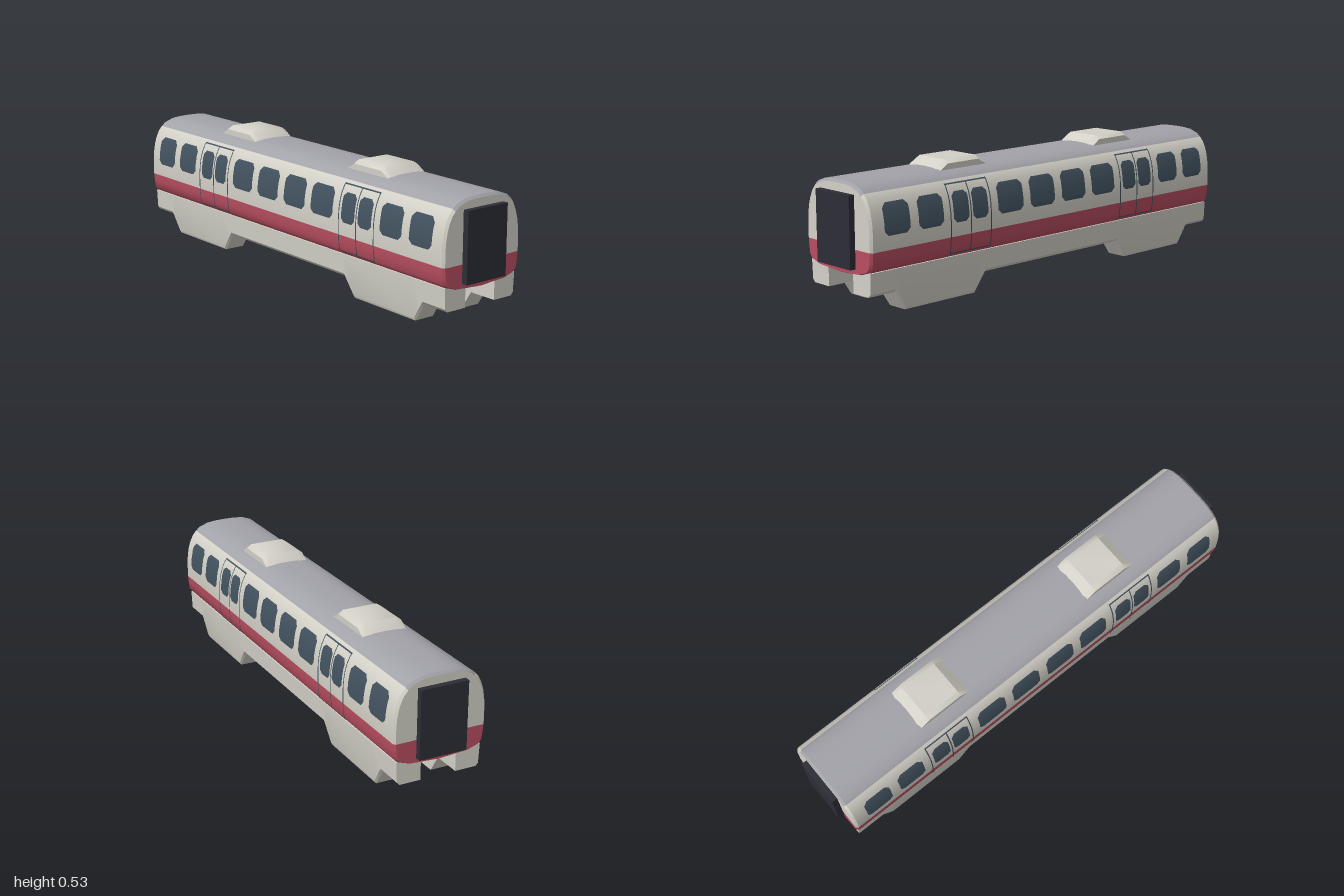
import * as THREE from 'three';
import { toCreasedNormals } from 'three/addons/utils/BufferGeometryUtils.js';

const material = (name, color) => {
  const m = new THREE.MeshStandardMaterial({ color });
  m.name = name;
  return m;
};

// Body half section, top to bottom
const PROFILE = [[0, 0.5], [0.045, 0.499], [0.087, 0.495], [0.128, 0.48], [0.146, 0.465], [0.163, 0.445], [0.176, 0.418],
  [0.185, 0.39], [0.191, 0.355], [0.194, 0.318], [0.194, 0.25], [0.1915, 0.22], [0.187, 0.187], [0.174, 0.171],
  [0.126, 0.155], [0, 0.147]];
const ROOF_END = 4, STRIPE_START = 10, FLOOR_START = 14;

// Side surface x at a given height
function sideX(y) {
  for (let i = 1; i < PROFILE.length; i++) {
    const [x0, y0] = PROFILE[i - 1], [x1, y1] = PROFILE[i];
    if (y >= y1) return x0 + (x1 - x0) * (y0 - y) / (y0 - y1);
  }
  return 0;
}

// Collects quads per material slot and makes one creased geometry
function quadBuilder() {
  const slots = [];
  return {
    quad(slot, a, b, c, d) {
      (slots[slot] ??= []).push(...a, ...b, ...c, ...a, ...c, ...d);
    },
    build() {
      const geo = new THREE.BufferGeometry(), all = [];
      slots.forEach((p, slot) => {
        geo.addGroup(all.length / 3, p.length / 3, slot);
        for (const v of p) all.push(v);
      });
      geo.setAttribute('position', new THREE.Float32BufferAttribute(all, 3));
      return toCreasedNormals(geo, 0.6);
    },
  };
}

// Closed loft: rings run clockwise seen from +z, stations go from +z to -z
function loft(stations, slotOf = () => 0) {
  const q = quadBuilder(), n = stations[0].ring.length, last = stations.length - 1;
  const at = (k, i) => [...stations[k].ring[i % n], stations[k].z];
  for (let k = 0; k < last; k++)
    for (let i = 0; i < n; i++)
      q.quad(slotOf(i, k), at(k, i), at(k, i + 1), at(k + 1, i + 1), at(k + 1, i));
  for (let i = 0; i < n / 2; i++) {
    const j = n - i;
    if (i + 1 > j - 1) break;
    q.quad(slotOf(i, 'cap'), at(0, j - 1), at(0, i + 1), at(0, i), at(0, j));
    q.quad(slotOf(i, 'cap'), at(last, j), at(last, i), at(last, i + 1), at(last, j - 1));
  }
  return q.build();
}

// Thin plate following the body side; rows are [y, zCentre, halfWidth], bottom to top
function sidePlate(rows, side, lift) {
  const q = quadBuilder();
  const p = ([y, z, w], s) => [side * (sideX(y) + lift), y, z + s * w];
  for (let i = 0; i + 1 < rows.length; i++) {
    const a = p(rows[i], side), b = p(rows[i], -side), c = p(rows[i + 1], -side), d = p(rows[i + 1], side);
    q.quad(0, a, b, c, d);
  }
  return q.build();
}

// Rows from y0 to y1 with cut corners, including the profile's own heights
function plateRows(y0, y1, z, w, cut) {
  const ys = [y0, y1, ...PROFILE.map((p) => p[1]).filter((y) => y > y0 && y < y1)];
  if (cut) ys.push(y0 + cut, y1 - cut);
  return ys.sort((a, b) => a - b).map((y) => [y, z, w - Math.max(0, cut - (y - y0), cut - (y1 - y))]);
}

export function createModel() {
  const model = new THREE.Group();
  model.name = 'railCarriage';
  const cream = material('cream', 0xd3d1c7), red = material('red', 0xb84e60), grey = material('roofGrey', 0xa2a2a9);
  const dark = material('darkRubber', 0x2d2d37), glass = material('glassBlue', 0x42525f);
  const add = (name, geo, mat, parent = model) => {
    const mesh = new THREE.Mesh(geo, mat);
    mesh.name = name;
    parent.add(mesh);
    return mesh;
  };

  // Body shell: cream sides, red stripe, grey roof and floor, small bevel at both ends
  const ring = [...PROFILE, ...PROFILE.slice(1, -1).reverse().map(([x, y]) => [-x, y])];
  const inset = ring.map(([x, y]) => [x * 0.96, 0.25 + (y - 0.25) * 0.96]);
  const half = PROFILE.length - 1;
  const slotOf = (i, k) => {
    const s = i < half ? i : 2 * half - 1 - i;
    if (s < ROOF_END && k !== 'cap') return 2;
    if (s >= FLOOR_START && k === 1) return 2;
    return s < STRIPE_START ? 0 : 1;
  };
  add('body', loft([{ z: 0.975, ring: inset }, { z: 0.965, ring }, { z: -0.965, ring }, { z: -0.975, ring: inset }], slotOf),
    [cream, red, grey]);

  // Skirts that drop down over the wheel sets
  const skirtRing = (b, side) => {
    const r = [[0.075, 0.17], [0.179, 0.17], [0.171 + 0.05 * b, b + 0.012], [0.164, b], [0.075, b]];
    return side > 0 ? r : r.map(([x, y]) => [-x, y]).reverse();
  };
  const drops = [[0.968, 0.077], [0.845, 0.077], [0.795, 0], [0.44, 0], [0.385, 0.077]];
  const steps = [...drops, ...drops.map(([z, b]) => [-z, b]).reverse()];
  for (const side of [1, -1])
    add(side > 0 ? 'leftSkirt' : 'rightSkirt', loft(steps.map(([z, b]) => ({ z, ring: skirtRing(b, side) }))), cream);

  for (const end of [1, -1]) {
    const where = end > 0 ? 'front' : 'back';
    // Gangway connection
    add(where + 'Gangway', new THREE.BoxGeometry(0.2, 0.282, 0.04).translate(0, 0.316, end * 0.98), dark);

    // Pivot under the floor
    add(where + 'Pivot', new THREE.CylinderGeometry(0.043, 0.043, 0.03, 16).translate(0, 0.145, end * 0.6), dark);

    // Roof unit with sloping ends
    const unit = (t, s) => [[-0.073, t], [0.073, t], [0.095, s], [0.095, 0.47], [-0.095, 0.47], [-0.095, s]];
    const z = end * 0.43;
    add(where + 'RoofUnit', loft([
      { z: z + 0.128, ring: unit(0.493, 0.487) }, { z: z + 0.08, ring: unit(0.53, 0.516) },
      { z: z - 0.08, ring: unit(0.53, 0.516) }, { z: z - 0.128, ring: unit(0.493, 0.487) }]), cream);
  }

  // Windows and doors on both sides, mirrored front to back
  for (const side of [1, -1]) {
    const group = new THREE.Group();
    group.name = side > 0 ? 'leftSideDetails' : 'rightSideDetails';
    model.add(group);
    for (const end of [1, -1]) {
      for (const [z, w] of [[0.849, 0.062], [0.683, 0.062], [0.268, 0.069], [0.09, 0.069]])
        add('window', sidePlate(plateRows(0.305, 0.428, end * z, w, 0.018), side, 0.003), glass, group);
      for (const z of [0.531, 0.431])
        add('doorWindow', sidePlate(plateRows(0.305, 0.424, end * z, 0.04, 0.016), side, 0.003), glass, group);
      for (const z of [0.586, 0.481, 0.376])
        add('doorSeam', sidePlate(plateRows(0.183, 0.455, end * z, 0.0025, 0), side, 0.003), glass, group);
      for (const y of [0.183, 0.45])
        add('doorEdge', sidePlate(plateRows(y, y + 0.005, end * 0.481, 0.1075, 0), side, 0.0032), glass, group);
    }
  }
  return model;
}
